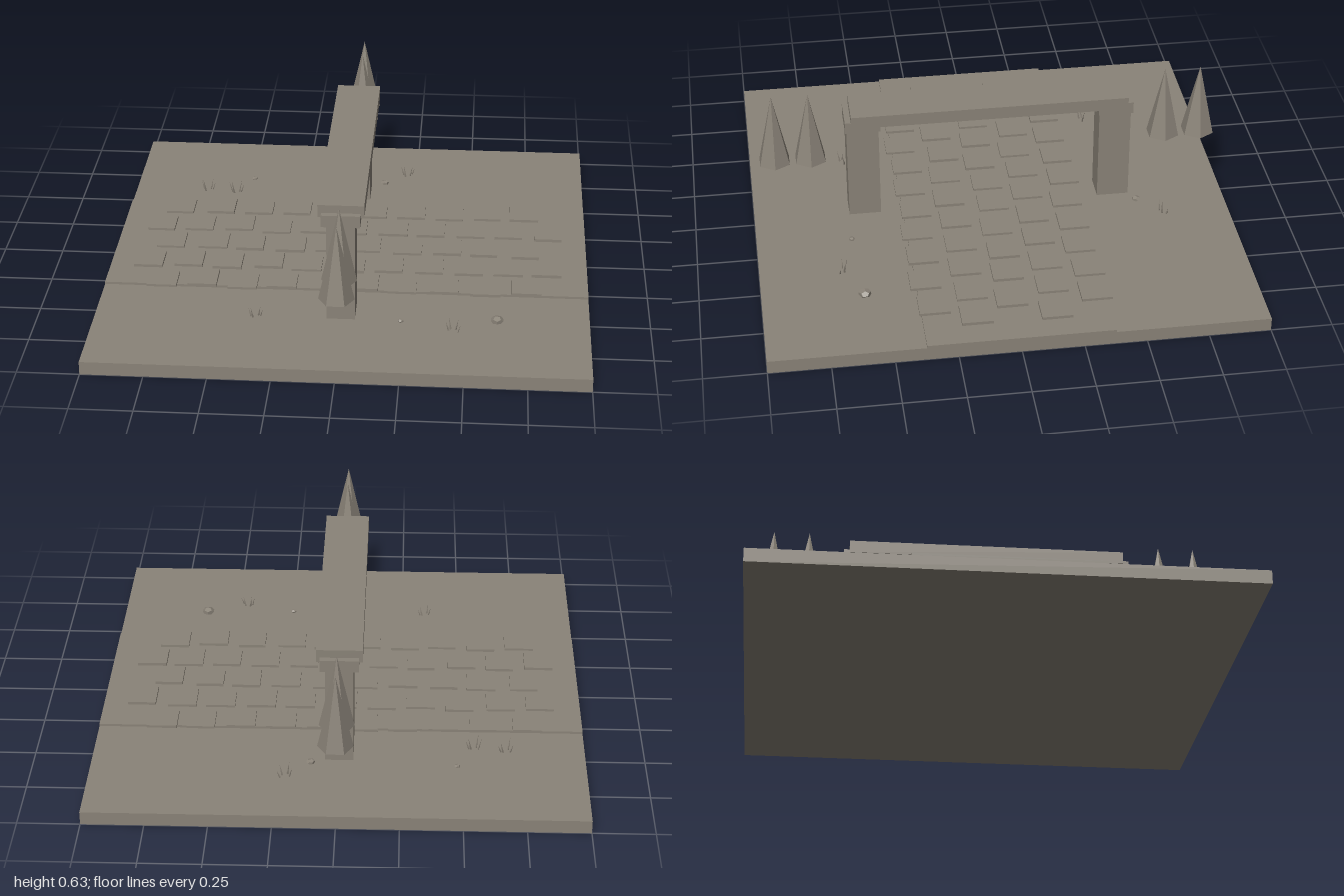
import * as THREE from 'three';

const stone = new THREE.MeshStandardMaterial({ color: 0x8a8378, flatShading: true });
stone.name = 'warm grey stone';

// small seeded random source, -1 to 1
let seed = 7;
function rand() {
  seed = (seed * 16807) % 2147483647;
  return (seed / 2147483647) * 2 - 1;
}

export function createModel() {
  const model = new THREE.Group();
  model.name = 'archwayScene';

  function add(name, geometry, x, y, z, parent = model) {
    const mesh = new THREE.Mesh(geometry, stone);
    mesh.name = name;
    mesh.position.set(x, y, z);
    parent.add(mesh);
    return mesh;
  }
  // box given by its bottom and top heights
  function box(name, w, d, y0, y1, x, z, parent) {
    return add(name, new THREE.BoxGeometry(w, y1 - y0, d), x, (y0 + y1) / 2, z, parent);
  }

  // ground and path
  box('ground', 2, 2, 0, 0.056, 0, 0);
  box('path', 2, 0.75, 0.056, 0.066, 0, 0);

  // staggered paving stones
  const paving = new THREE.Group();
  paving.name = 'pavingStones';
  model.add(paving);
  for (let row = 0; row < 5; row++) {
    const count = row % 2 ? 11 : 10;
    for (let i = 0; i < count; i++) {
      const x = (i - (count - 1) / 2) * 0.167 + rand() * 0.008 - (row % 2 ? 0 : 0.012);
      const z = (row - 2) * 0.165 + rand() * 0.01;
      box('pavingStone', 0.12 + rand() * 0.005, 0.125, 0.066, 0.077 + rand() * 0.002, x, z, paving);
    }
  }

  // gateway: two pillars with caps and a long beam
  for (const side of [1, -1]) {
    box('pillar', 0.114, 0.134, 0.056, 0.48, -0.003, side * 0.532);
    box('pillarCap', 0.156, 0.146, 0.475, 0.526, -0.003, side * 0.532);
  }
  box('beam', 0.186, 1.16, 0.506, 0.56, -0.003, 0);

  // six-sided trees
  for (const z of [-0.9, -0.75, 0.75, 0.9]) {
    add('tree', new THREE.ConeGeometry(0.071, 0.315, 6), 0.002, 0.4775, z).rotation.y = Math.PI / 6;
  }

  // small rocks: x, z, radius
  const rocks = [[-0.48, -0.635, 0.012], [0.112, -0.625, 0.018], [0.627, 0.585, 0.027], [0.24, 0.605, 0.013]];
  for (const [x, z, r] of rocks) {
    const rock = add('rock', new THREE.DodecahedronGeometry(r), x, 0.056 + r * 0.4, z);
    rock.scale.y = 0.6;
    rock.rotation.y = x * 5;
  }

  // grass tufts: x, z, height
  const tufts = [[-0.68, -0.51, 0.06], [-0.55, -0.495, 0.068], [0.21, -0.72, 0.058], [-0.35, 0.6, 0.05], [0.45, 0.66, 0.055]];
  for (const [x, z, h] of tufts) {
    const tuft = new THREE.Group();
    tuft.name = 'grassTuft';
    tuft.position.set(x, 0.056, z);
    model.add(tuft);
    for (let i = 0; i < 4; i++) {
      const height = h * (1 - i * 0.12);
      const blade = new THREE.ConeGeometry(0.004, height, 4).translate(0, height / 2, 0);
      const side = i % 2 ? 1 : -1;
      const mesh = add('grassBlade', blade, side * (0.008 + i * 0.004), 0, rand() * 0.014, tuft);
      mesh.rotation.set(rand() * 0.2, 0, -side * (0.15 + i * 0.07));
    }
  }

  return model;
}
